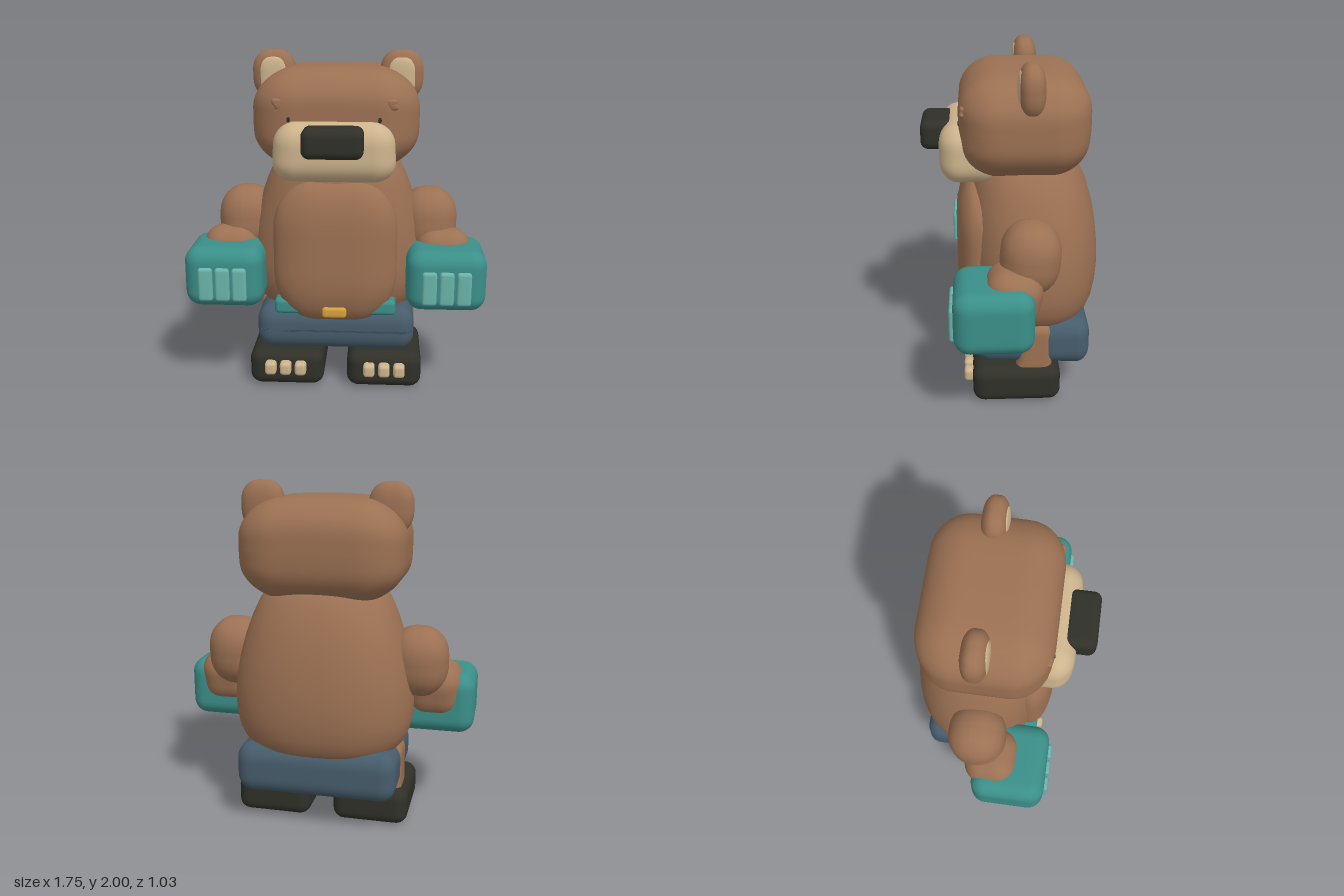
import * as THREE from 'three';
import { mergeVertices } from 'three/addons/utils/BufferGeometryUtils.js';

const mat = (name, color) => Object.assign(new THREE.MeshStandardMaterial({ color }), { name });

// Rounded box with a separate corner radius per axis and an optional shaping rule
function puff([w, h, d], radii, seg = 14, shape) {
  let g = new THREE.BoxGeometry(2, 2, 2, seg, seg, seg);
  g.deleteAttribute('normal');
  g.deleteAttribute('uv');
  g = mergeVertices(g);
  const p = g.attributes.position, half = [w / 2, h / 2, d / 2];
  const r = radii.map((v, i) => Math.min(v, half[i] * 0.98));
  const flat = 0.43, v = new THREE.Vector3();
  for (let i = 0; i < p.count; i++) {
    const u = [p.getX(i), p.getY(i), p.getZ(i)];
    const corner = u.map(a => Math.abs(a) <= flat ? 0
      : Math.sign(a) * Math.tan((Math.abs(a) - flat) / (1 - flat) * Math.PI / 4));
    const len = Math.hypot(...corner) || 1;
    v.fromArray(u.map((a, k) =>
      THREE.MathUtils.clamp(a / flat, -1, 1) * (half[k] - r[k]) + corner[k] / len * r[k]));
    if (shape) shape(v);
    p.setXYZ(i, v.x, v.y, v.z);
  }
  g.computeVertexNormals();
  return g;
}

// Smooth body from superellipse rings: [y, half width, front z, back z]
function loft(rings, n, seg = 56) {
  const pos = [], idx = [];
  const curve = (t) => Math.sign(t) * Math.abs(t) ** (2 / n);
  rings.forEach(([y, hx, zf, zb]) => {
    for (let j = 0; j < seg; j++) {
      const a = j / seg * Math.PI * 2;
      pos.push(hx * curve(Math.sin(a)), y, (zf + zb) / 2 + (zf - zb) / 2 * curve(Math.cos(a)));
    }
  });
  for (let i = 0; i < rings.length - 1; i++) {
    for (let j = 0; j < seg; j++) {
      const a = i * seg + j, b = i * seg + (j + 1) % seg;
      idx.push(a, b, b + seg, a, b + seg, a + seg);
    }
  }
  const g = new THREE.BufferGeometry();
  g.setAttribute('position', new THREE.Float32BufferAttribute(pos, 3));
  g.setIndex(idx);
  g.computeVertexNormals();
  return g;
}

export function createModel() {
  const root = new THREE.Group();
  root.name = 'bear';
  const fur = mat('brown fur', 0x9c7153);
  const cream = mat('cream', 0xcdb48d);
  const black = mat('charcoal', 0x303029);
  const teal = mat('teal', 0x3b8f89);
  const mint = mat('light teal', 0x6ab4aa);
  const blue = mat('slate blue', 0x475d6c);
  const gold = mat('gold', 0xd9a13c);

  const add = (name, geo, material, [x, y, z] = [0, 0, 0], [rx, ry, rz] = [0, 0, 0]) => {
    const m = new THREE.Mesh(geo, material);
    m.name = name;
    m.position.set(x, y, z);
    m.rotation.set(rx, ry, rz);
    root.add(m);
  };
  // Adds a part on both sides
  const pair = (name, geo, material, [x, y, z], [rx, ry, rz] = [0, 0, 0]) => {
    add(name + 'Left', geo, material, [x, y, z], [rx, ry, rz]);
    add(name + 'Right', geo, material, [-x, y, z], [rx, -ry, -rz]);
  };

  // Torso and belly
  add('torso', loft([
    [0.44, 0, -0.12, -0.12], [0.442, 0.28, 0.08, -0.32], [0.455, 0.39, 0.15, -0.41],
    [0.48, 0.445, 0.19, -0.445], [0.52, 0.48, 0.22, -0.47], [0.58, 0.508, 0.245, -0.491],
    [0.66, 0.526, 0.262, -0.505], [0.76, 0.53, 0.27, -0.512], [0.88, 0.52, 0.27, -0.508],
    [1.0, 0.5, 0.268, -0.494], [1.12, 0.467, 0.26, -0.472], [1.24, 0.425, 0.247, -0.436],
    [1.34, 0.38, 0.225, -0.39], [1.42, 0.32, 0.19, -0.34], [1.47, 0, -0.07, -0.07],
  ], 2.35), fur);
  add('belly', puff([0.72, 0.85, 0.26], [0.25, 0.29, 0.12]), fur, [0, 0.865, 0.195]);

  // Head
  add('head', puff([0.95, 0.58, 0.73], [0.25, 0.2, 0.22], 18, v => {
    const low = Math.max(0, -(v.y + 0.02) / 0.27);
    v.x *= 1 - 0.1 * low * low;
    if (v.z < 0) v.z *= 1 - 0.06 * low;
    if (v.y > 0) v.y -= 0.03 * (v.x / 0.47) ** 2;
  }), fur, [0, 1.63, -0.065]);
  add('muzzle', puff([0.7, 0.335, 0.35], [0.13, 0.12, 0.11], 14, v => {
    v.x *= 0.97 - 0.17 * v.y;
  }), cream, [0, 1.4725, 0.235]);
  add('nose', puff([0.335, 0.165, 0.19], [0.045, 0.045, 0.045]), black, [0, 1.5475, 0.42]);
  pair('eye', puff([0.03, 0.045, 0.04], [0.015, 0.02, 0.015], 8), black, [0.25, 1.648, 0.282]);
  pair('brow', puff([0.055, 0.06, 0.06], [0.015, 0.015, 0.015], 8, v => {
    v.x += v.y < 0 ? 0.012 : 0;
    v.x *= 1 + v.y * 6;
  }), fur, [0.315, 1.73, 0.26]);

  // Ears
  const earTaper = v => { v.x *= 1 + 0.15 * v.y; };
  pair('ear', puff([0.25, 0.29, 0.145], [0.1, 0.12, 0.06], 14, earTaper), fur, [0.372, 1.855, -0.0925]);
  pair('innerEar', puff([0.16, 0.22, 0.06], [0.065, 0.08, 0.02], 10, earTaper), cream, [0.372, 1.85, -0.046]);

  // Arms and gloves
  pair('upperArm', puff([0.34, 0.41, 0.33], [0.15, 0.17, 0.15]), fur, [0.55, 0.985, -0.08], [-0.08, 0, 0]);
  pair('forearm', puff([0.33, 0.32, 0.31], [0.12, 0.12, 0.12]), fur, [0.635, 0.805, 0.02], [-0.2, 0, 0]);
  pair('glove', puff([0.46, 0.36, 0.435], [0.09, 0.09, 0.09]), teal, [0.645, 0.72, 0.125]);
  const knuckle = puff([0.084, 0.2, 0.06], [0.016, 0.02, 0.016], 8);
  for (let i = 0; i < 3; i++) {
    pair('knuckle' + (i + 1), knuckle, mint, [0.546 + i * 0.098, 0.695, 0.335]);
  }

  // Shorts, belt and buckle
  add('shorts', puff([0.94, 0.3, 0.675], [0.09, 0.1, 0.08], 14, v => {
    if (v.y < 0) v.y += 0.05 * (v.z + 0.33);
  }), blue, [0, 0.36, -0.105]);
  add('belt', puff([0.715, 0.095, 0.15], [0.03, 0.025, 0.03], 10), teal, [0, 0.53, 0.183]);
  add('buckle', puff([0.142, 0.066, 0.08], [0.02, 0.02, 0.015], 10), gold, [0, 0.518, 0.272]);

  // Legs, feet and toes
  pair('leg', puff([0.36, 0.32, 0.2], [0.05, 0.06, 0.05], 14, v => {
    if (v.z > 0) v.z += 0.3 * Math.max(0, -v.y - 0.07);
  }), fur, [0.298, 0.335, -0.12]);
  pair('foot', puff([0.448, 0.225, 0.515], [0.07, 0.065, 0.07]), black, [0.295, 0.1175, -0.0125]);
  const toe = puff([0.068, 0.08, 0.1], [0.02, 0.02, 0.02], 8);
  for (let i = 0; i < 3; i++) {
    pair('toe' + (i + 1), toe, cream, [0.206 + i * 0.09, 0.138, 0.246]);
  }
  return root;
}
